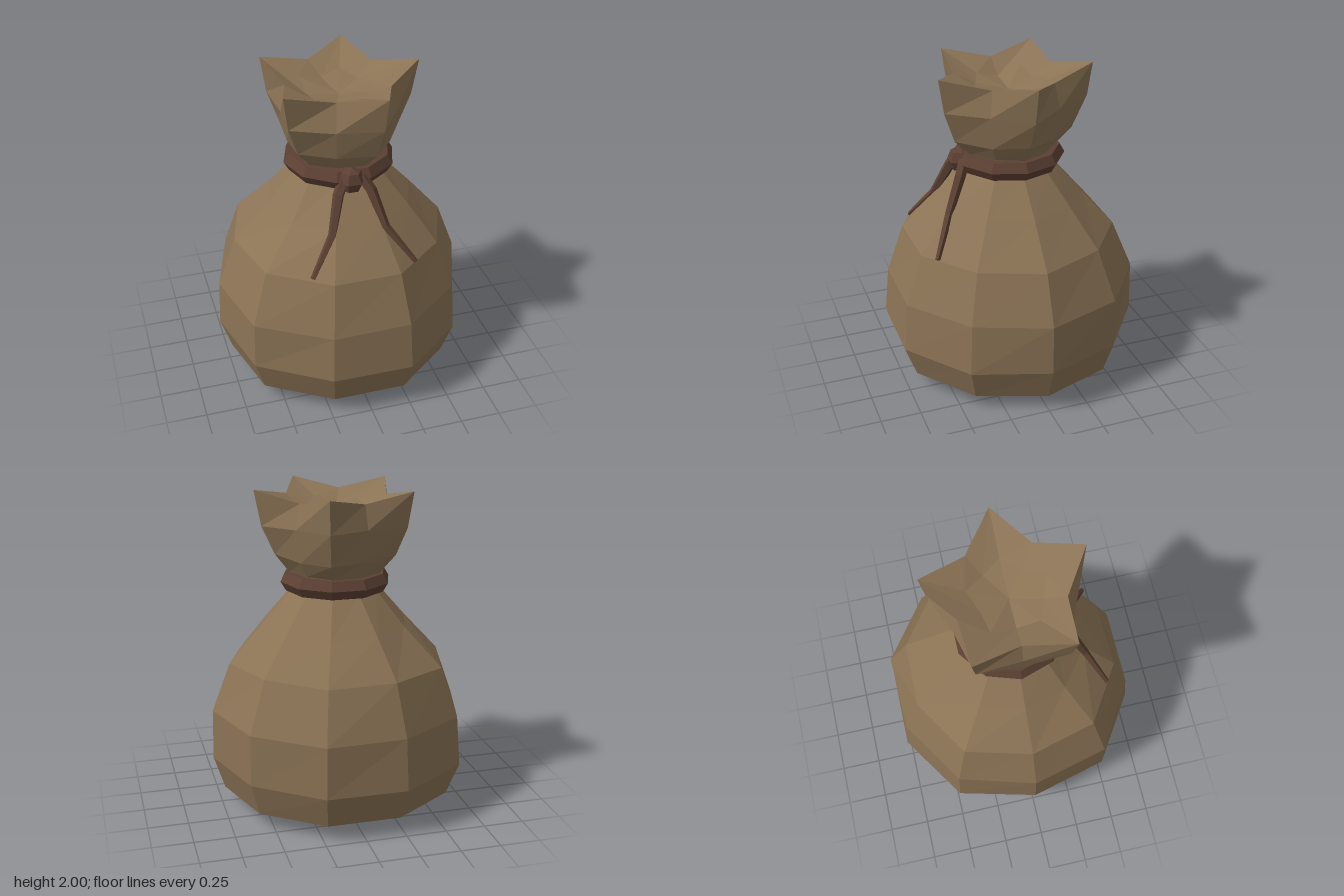
import * as THREE from 'three';

const SIDES = 10;

// Skin a stack of rings (each an array of Vector3) with flat-shaded faces.
function skin(rings) {
  const pos = [];
  const tri = (a, b, c) => {
    const area = b.clone().sub(a).cross(c.clone().sub(a)).length();
    if (area > 1e-7) for (const p of [a, b, c]) pos.push(p.x, p.y, p.z);
  };
  for (let i = 0; i + 1 < rings.length; i++) {
    const lo = rings[i], hi = rings[i + 1], n = lo.length;
    for (let j = 0; j < n; j++) {
      const k = (j + 1) % n;
      tri(lo[j], hi[j], lo[k]);
      tri(hi[j], hi[k], lo[k]);
    }
  }
  const g = new THREE.BufferGeometry();
  g.setAttribute('position', new THREE.Float32BufferAttribute(pos, 3));
  g.computeVertexNormals();
  return g;
}

export function createModel() {
  const model = new THREE.Group();
  model.name = 'tiedSack';

  const cloth = new THREE.MeshStandardMaterial({ color: 0x8b7355, flatShading: true });
  cloth.name = 'burlap';
  const twine = new THREE.MeshStandardMaterial({ color: 0x5c4033, flatShading: true });
  twine.name = 'brown cord';

  const add = (name, geometry, material, parent = model) => {
    const m = new THREE.Mesh(geometry, material);
    m.name = name;
    parent.add(m);
    return m;
  };

  // Small repeatable unevenness for the cloth
  let seed = 7;
  const wobble = (amount) => {
    seed = (seed * 16807) % 2147483647;
    return (seed / 2147483647 - 0.5) * 2 * amount;
  };

  // Slight bulges around the belly, one factor per side
  const bulge = [1, 0.98, 1, 1, 1.04, 1, 1.03, 1, 1, 0.995];

  // Ring whose even corners are ruffle tips and odd corners are valleys
  const ring = (yTip, rTip, yValley = yTip, rValley = rTip, uneven = 0, useBulge = false) =>
    Array.from({ length: SIDES }, (_, j) => {
      const a = (j / SIDES) * Math.PI * 2;
      const tip = j % 2 === 0;
      const r = (tip ? rTip : rValley) * (useBulge ? bulge[j] : 1) + wobble(uneven);
      const y = (tip ? yTip : yValley) + wobble(uneven);
      return new THREE.Vector3(Math.cos(a) * r, y, Math.sin(a) * r);
    });

  // Belly: flat base up to the tied neck
  const belly = [[0, 0], [0, 0.49], [0.1, 0.73], [0.31, 0.8], [0.62, 0.785], [0.935, 0.67], [1.165, 0.46], [1.38, 0.27], [1.44, 0.25]]
    .map(([y, r], i) => ring(y, r, y, r, i > 2 && i < 7 ? 0.01 : 0, i > 1 && i < 6));
  add('sackBody', skin(belly), cloth);

  // Gathered mouth: flares to five points, then folds into a shallow hollow
  add('sackMouth', skin([
    ring(1.42, 0.25),
    ring(1.49, 0.29, 1.49, 0.27),
    ring(1.6, 0.385, 1.58, 0.33, 0.012),
    ring(1.79, 0.465, 1.78, 0.365, 0.012),
    ring(2, 0.5, 1.94, 0.325),
    ring(1.9, 0.24, 1.87, 0.18, 0.015),
    ring(1.84, 0),
  ]), cloth);

  // Cord around the neck
  const band = add('neckCord', new THREE.TorusGeometry(0.28, 0.065, 6, SIDES), twine);
  band.rotation.x = Math.PI / 2;
  band.position.y = 1.43;

  // Knot at the front
  const knot = add('knot', new THREE.SphereGeometry(0.082, 6, 4), twine);
  knot.position.set(-0.01, 1.425, 0.305);

  // Two tapering loose ends hanging over the belly
  const path = [[0.05, 1.44, 0.3, 0.036], [0.1, 1.36, 0.345, 0.035], [0.165, 1.15, 0.44, 0.026], [0.32, 0.945, 0.56, 0.016]];
  for (const side of [1, -1]) {
    const pts = path.map(([x, y, z]) => new THREE.Vector3(x * side, y, z));
    const rings = pts.map((p, i) => {
      const t = pts[Math.min(i + 1, 3)].clone().sub(pts[Math.max(i - 1, 0)]).normalize();
      const u = new THREE.Vector3(0, 0, 1).cross(t).normalize();
      const v = u.clone().cross(t);
      return Array.from({ length: 5 }, (_, j) => {
        const a = (j / 5) * Math.PI * 2;
        return p.clone()
          .addScaledVector(u, Math.cos(a) * path[i][3])
          .addScaledVector(v, Math.sin(a) * path[i][3]);
      });
    });
    // Close both ends with a point
    rings.unshift(Array(5).fill(pts[0]));
    rings.push(Array(5).fill(pts[3]));
    add(side > 0 ? 'leftCordEnd' : 'rightCordEnd', skin(rings), twine);
  }

  return model;
}
